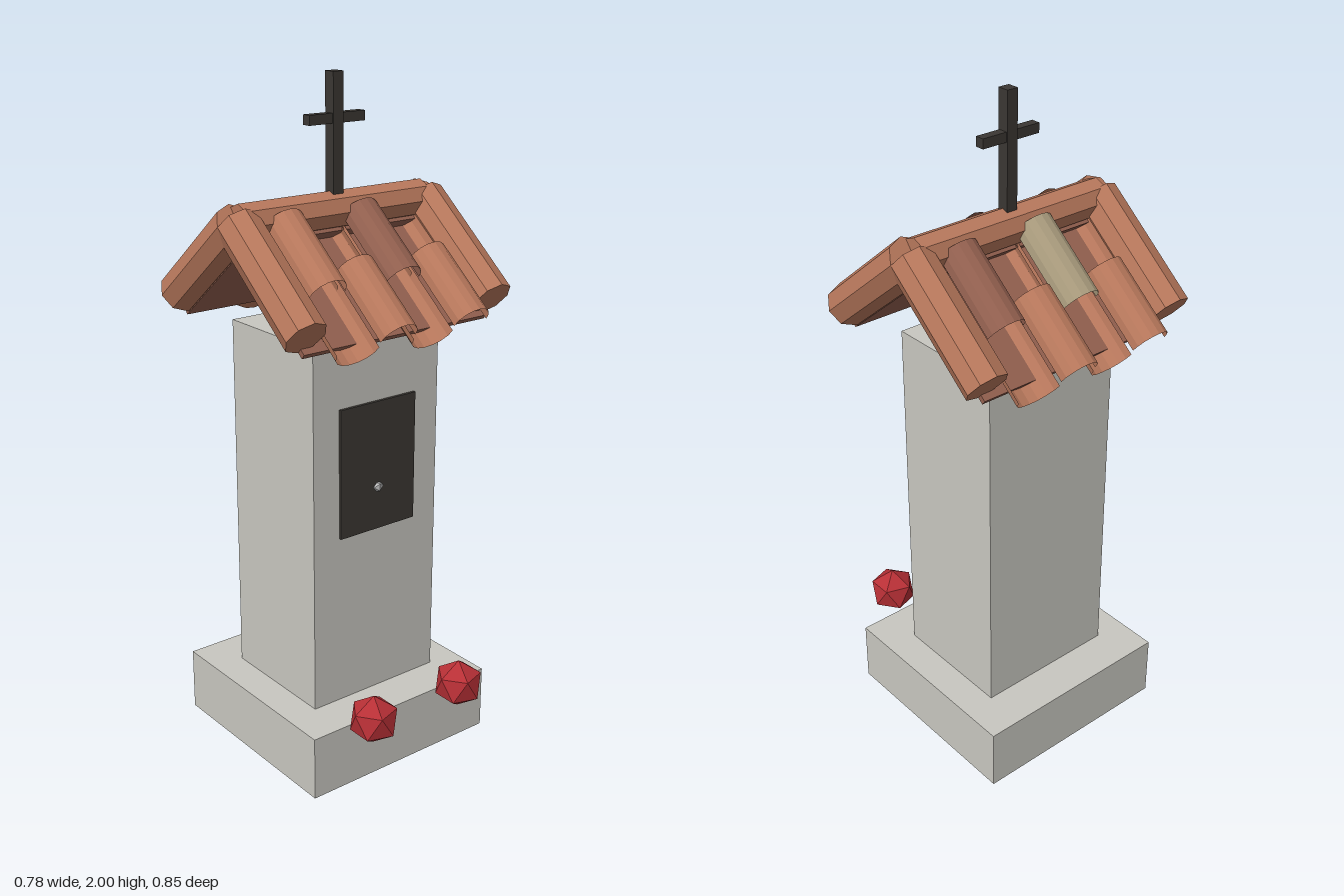
import * as THREE from 'three';

const mat = (name, color, side = THREE.FrontSide) => {
  const m = new THREE.MeshStandardMaterial({ color, side });
  m.name = name;
  return m;
};

// faceted normals for the low-poly style
const facet = (g) => {
  const f = g.index ? g.toNonIndexed() : g;
  f.computeVertexNormals();
  return f;
};

export function createModel() {
  const stone = mat('stone', 0xc8c7c0);
  const iron = mat('iron', 0x3b3733);
  const red = mat('red', 0xb83036);
  const silver = mat('silver', 0xbfbfbf);
  const terracotta = mat('terracotta', 0xb8785c, THREE.DoubleSide);
  const rosyClay = mat('rosyClay', 0x93604f, THREE.DoubleSide);
  const paleClay = mat('paleClay', 0xa89a7c, THREE.DoubleSide);

  const model = new THREE.Group();
  model.name = 'waysideShrine';
  const add = (parent, name, geo, material, x = 0, y = 0, z = 0) => {
    const m = new THREE.Mesh(facet(geo), material);
    m.name = name;
    m.position.set(x, y, z);
    parent.add(m);
    return m;
  };
  const box = (w, h, d) => new THREE.BoxGeometry(w, h, d);
  const midZ = -0.028;

  // masonry
  add(model, 'plinth', box(0.65, 0.195, 0.645), stone, 0, 0.0975, midZ);
  add(model, 'pillar', box(0.45, 1.105, 0.385), stone, 0, 0.7475, midZ);

  // niche door and knob
  add(model, 'door', box(0.27, 0.39, 0.009), iron, 0, 0.915, 0.169);
  add(model, 'knob', new THREE.IcosahedronGeometry(0.02, 0), silver, 0, 0.85, 0.165);

  // flowers on the plinth edge, one vertex pointing up
  for (const side of [-1, 1]) {
    const flower = new THREE.IcosahedronGeometry(0.075, 0);
    flower.rotateZ(Math.atan(2 / (1 + Math.sqrt(5))));
    add(model, side > 0 ? 'leftFlower' : 'rightFlower', flower, red, side * 0.163, 0.235, 0.36);
  }

  // half-round tile lying along z from s0 to s1, arched up or hollow up
  const tile = (rx, depth, s0, s1, hollow) => {
    const g = new THREE.CylinderGeometry(1, 1, s1 - s0, 8, 1, true, Math.PI / 2, Math.PI);
    g.rotateX(Math.PI / 2);
    if (hollow) g.rotateZ(Math.PI);
    return g.scale(rx, depth, 1).translate(0, 0, (s0 + s1) / 2);
  };

  // one roof slope: local z runs down the slope, local y is its normal
  const slope = (name, coverMaterials) => {
    const pivot = new THREE.Group();
    pivot.name = name;
    const s = new THREE.Group();
    s.name = name + 'Tiles';
    s.rotation.x = THREE.MathUtils.degToRad(39);
    pivot.add(s);
    add(s, 'roofBoard', box(0.645, 0.016, 0.41), rosyClay, 0, -0.056, 0.205);
    coverMaterials.forEach((m, i) => {
      const x = -0.195 + i * 0.13;
      const low = i % 2 === 1;
      add(s, 'panTile', tile(0.07, 0.057, 0, low ? 0.25 : 0.46, true), terracotta, x, -0.006, 0);
      add(s, 'coverTile', low ? tile(0.06, 0.058, 0.21, 0.455) : tile(0.06, 0.058, 0.024, 0.277),
        m, x, 0.008, 0);
    });
    for (const side of [-1, 1]) {
      const verge = new THREE.CylinderGeometry(0.063, 0.063, 0.39, 8).rotateX(Math.PI / 2);
      add(s, 'vergeTile', verge, terracotta, side * 0.327, 0, 0.195);
    }
    return pivot;
  };

  // roof
  const roof = new THREE.Group();
  roof.name = 'roof';
  roof.position.set(0, 1.62, -0.03);
  model.add(roof);
  roof.add(slope('frontSlope', [terracotta, terracotta, rosyClay, terracotta]));
  const back = slope('backSlope', [rosyClay, terracotta, paleClay, terracotta]);
  back.rotation.y = Math.PI;
  roof.add(back);
  const ridge = new THREE.CylinderGeometry(0.055, 0.055, 0.64, 8).rotateX(Math.PI).rotateZ(Math.PI / 2);
  add(roof, 'ridgeTile', ridge, terracotta, -0.005, 0, 0);

  // cross
  add(model, 'crossPost', box(0.035, 0.4, 0.036), iron, 0, 1.8, -0.03);
  add(model, 'crossArm', box(0.192, 0.028, 0.028), iron, 0, 1.875, -0.03);

  return model;
}
